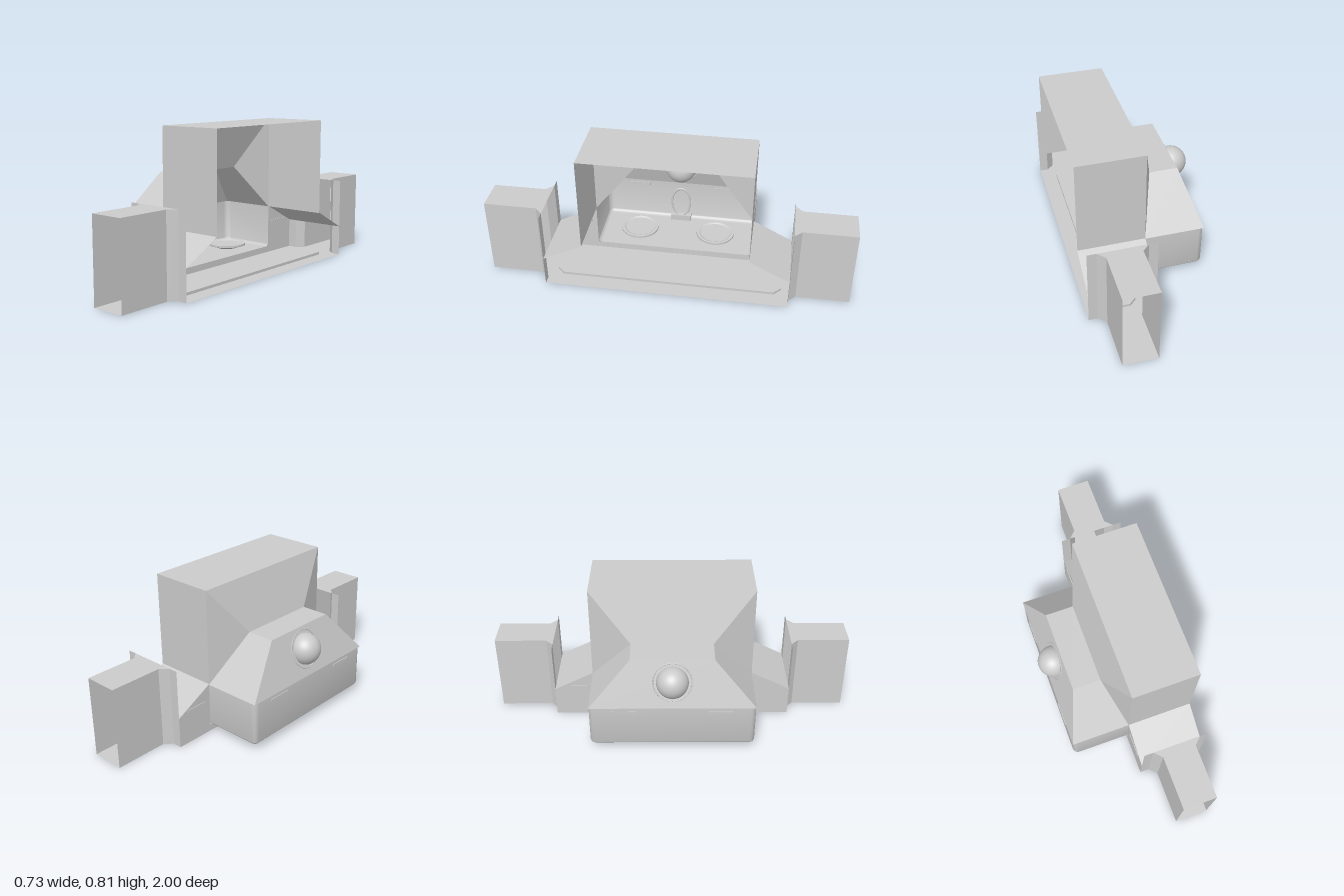
import * as THREE from 'three';
import { toCreasedNormals } from 'three/addons/utils/BufferGeometryUtils.js';

const mat = new THREE.MeshStandardMaterial({ color: 0xcccccc, side: THREE.DoubleSide });

function add(parent, name, geo, x = 0, y = 0, z = 0) {
  const m = new THREE.Mesh(geo, mat);
  m.name = name;
  m.position.set(x, y, z);
  parent.add(m);
  return m;
}

// Flat-sided sheet shell from convex polygons, each a list of [x, y, z]
function sheets(polys) {
  const pos = [];
  for (const p of polys)
    for (let i = 1; i < p.length - 1; i++) pos.push(...p[0], ...p[i], ...p[i + 1]);
  const g = new THREE.BufferGeometry();
  g.setAttribute('position', new THREE.Float32BufferAttribute(pos, 3));
  g.computeVertexNormals();
  return g;
}

// Horizontal sheet from [x, z] outlines
function flat(outline, y, hole) {
  const v = (p) => new THREE.Vector2(p[0], -p[1]);
  const s = new THREE.Shape(outline.map(v));
  if (hole) s.holes.push(new THREE.Path(hole.map(v)));
  return new THREE.ShapeGeometry(s).rotateX(-Math.PI / 2).translate(0, y, 0);
}

// Vertical strip following an [x, z] path between two heights
function strip(path, y0, y1) {
  return sheets(path.slice(1).map((b, i) => {
    const a = path[i];
    return [[a[0], y0, a[1]], [b[0], y0, b[1]], [b[0], y1, b[1]], [a[0], y1, a[1]]];
  }));
}

// U-shaped tub outline, shrunk by d, with rounded outer corners
function tubLoop(d) {
  const r = 0.03 - d, X = -0.325 + d, Z = 0.45 - d, n = 6, pts = [[0, -Z]];
  for (let i = 0; i <= n; i++) {
    const a = (i / n) * Math.PI / 2;
    pts.push([X + r - r * Math.sin(a), -Z + r - r * Math.cos(a)]);
  }
  return pts.concat(pts.slice().reverse().map(([x, z]) => [x, -z]));
}

function tub() {
  const R = 0.022, loops = [{ p: tubLoop(0), y: 0.28 }];
  for (let i = 0; i <= 5; i++) {
    const a = (i / 5) * Math.PI / 2;
    loops.push({ p: tubLoop(R * (1 - Math.cos(a))), y: 0.036 + R * (1 - Math.sin(a)) });
  }
  const pos = [], idx = [], n = loops[0].p.length;
  for (const l of loops) for (const [x, z] of l.p) pos.push(x, l.y, z);
  for (let j = 0; j < loops.length - 1; j++)
    for (let i = 0; i < n - 1; i++) {
      const a = j * n + i, b = a + n;
      idx.push(a, a + 1, b, a + 1, b + 1, b);
    }
  const g = new THREE.BufferGeometry();
  g.setAttribute('position', new THREE.Float32BufferAttribute(pos, 3));
  g.setIndex(idx);
  return toCreasedNormals(g, 0.7);
}

export function createModel() {
  const model = new THREE.Group();
  model.name = 'housing';
  const W = 0.363, A = 0.09, B = 0.275, Z = 0.67, H = 0.45;

  // Base plate with end tongues and a raised chamfered panel
  const tongue = (s) => [[0.05, s * Z], [A, s * 0.71], [A, s], [B, s], [B, s * 0.71], [0.315, s * Z]];
  const c = 0.04, e = 0.63;
  const panel = [[A + c, -e], [B - c, -e], [B, c - e], [B, e - c], [B - c, e], [A + c, e], [A, e - c], [A, c - e]];
  const plate = [[0, -Z], ...tongue(-1), [W, -Z], [W, Z], ...tongue(1).reverse(), [0, Z]];
  add(model, 'basePlate', flat(plate, 0, panel));
  add(model, 'raisedPanel', flat(panel, 0.015));
  add(model, 'raisedPanelEdge', strip([...panel, panel[0]], 0, 0.015));

  // Open end channels: flange, chamfer, side walls and roof
  for (const s of [1, -1]) {
    const end = new THREE.Group();
    end.name = s > 0 ? 'frontChannel' : 'backChannel';
    const t = tongue(s);
    add(end, 'innerWall', strip([[0, s * Z], ...t.slice(0, 3)], 0, 0.443));
    add(end, 'outerWall', strip([...t.slice(3), [W, s * Z]], 0, 0.443));
    add(end, 'channelRoof', flat(t, 0.443));
    // Sloped shoulder and the back wall under it
    add(end, 'shoulder', sheets([
      [[0, 0.17, s * Z], [W, 0.17, s * Z], [W, 0.283, s * H], [0, 0.283, s * H]],
      [[0, 0, s * Z], [0, 0.17, s * Z], [0, 0.283, s * H], [0, 0, s * H]],
    ]));
    add(end, 'shoulderSlot', new THREE.BoxGeometry(0.008, 0.014, 0.13), 0, 0.187, s * 0.545);
    model.add(end);
  }
  add(model, 'lowerBackWall', sheets([[[0, 0, -H], [0, 0, H], [0, 0.036, H], [0, 0.036, -H]]]));

  // Hood, open on its outer side
  const T = 0.81, M = 0.533, N = 0.225, px = -0.085, qx = -0.24;
  const hood = [
    [[0, T, -H], [0, T, H], [W, T, H], [W, T, -H]],
    [[0, T, H], [0, T, -H], [px, M, -N], [px, M, N]],
  ];
  // Tapered cover joining hood and tub
  const cover = [
    [[px, M, -N], [qx, M, -N], [qx, M, N], [px, M, N]],
    [[-0.325, 0.28, -H], [-0.325, 0.28, H], [qx, M, N], [qx, M, -N]],
  ];
  for (const s of [1, -1]) {
    hood.push([[0, 0.28, s * H], [W, 0.28, s * H], [W, T, s * H], [0, T, s * H]]);
    hood.push([[0, T, s * H], [0, 0.28, s * H], [px, M, s * N]]);
    cover.push([[0, 0.28, s * H], [-0.325, 0.28, s * H], [qx, M, s * N], [px, M, s * N]]);
  }
  add(model, 'hood', sheets(hood));
  add(model, 'taperedCover', sheets(cover));

  // Tub with rounded lower edges
  add(model, 'tubWalls', tub());
  add(model, 'tubFloor', flat(tubLoop(0.022), 0.036));

  // Ball set in the sloping face, with a thin collar
  add(model, 'ball', new THREE.SphereGeometry(0.087, 40, 24), -0.279, 0.418, 0);
  const collar = add(model, 'ballCollar', new THREE.TorusGeometry(0.104, 0.003, 6, 48), -0.279, 0.418, 0);
  collar.rotation.set(0, Math.PI / 2, 0);
  collar.rotation.order = 'ZYX';
  collar.rotation.z = -Math.atan2(0.085, 0.253);

  // Shallow discs and slots inside the tub
  const dish = [[0, 0.04], [0.05, 0.045], [0.11, 0.065], [0.11, 0.076], [0.095, 0.076], [0.085, 0.07], [0, 0.07]]
    .map(([x, y]) => new THREE.Vector2(x, y));
  for (const s of [1, -1]) {
    add(model, 'tubDisc', toCreasedNormals(new THREE.LatheGeometry(dish, 40), 0.5), -0.14, 0, s * 0.225);
    add(model, 'tubSlot', new THREE.BoxGeometry(0.008, 0.016, 0.13), -0.325, 0.255, s * 0.26);
  }

  // Upright oval ring on a small foot
  const oval = add(model, 'ovalRing', new THREE.TorusGeometry(0.055, 0.005, 8, 40), -0.29, 0.165, 0);
  oval.rotation.y = Math.PI / 2;
  oval.scale.y = 1.72;
  add(model, 'ovalFoot', new THREE.BoxGeometry(0.03, 0.035, 0.12), -0.29, 0.056, 0);
  return model;
}
